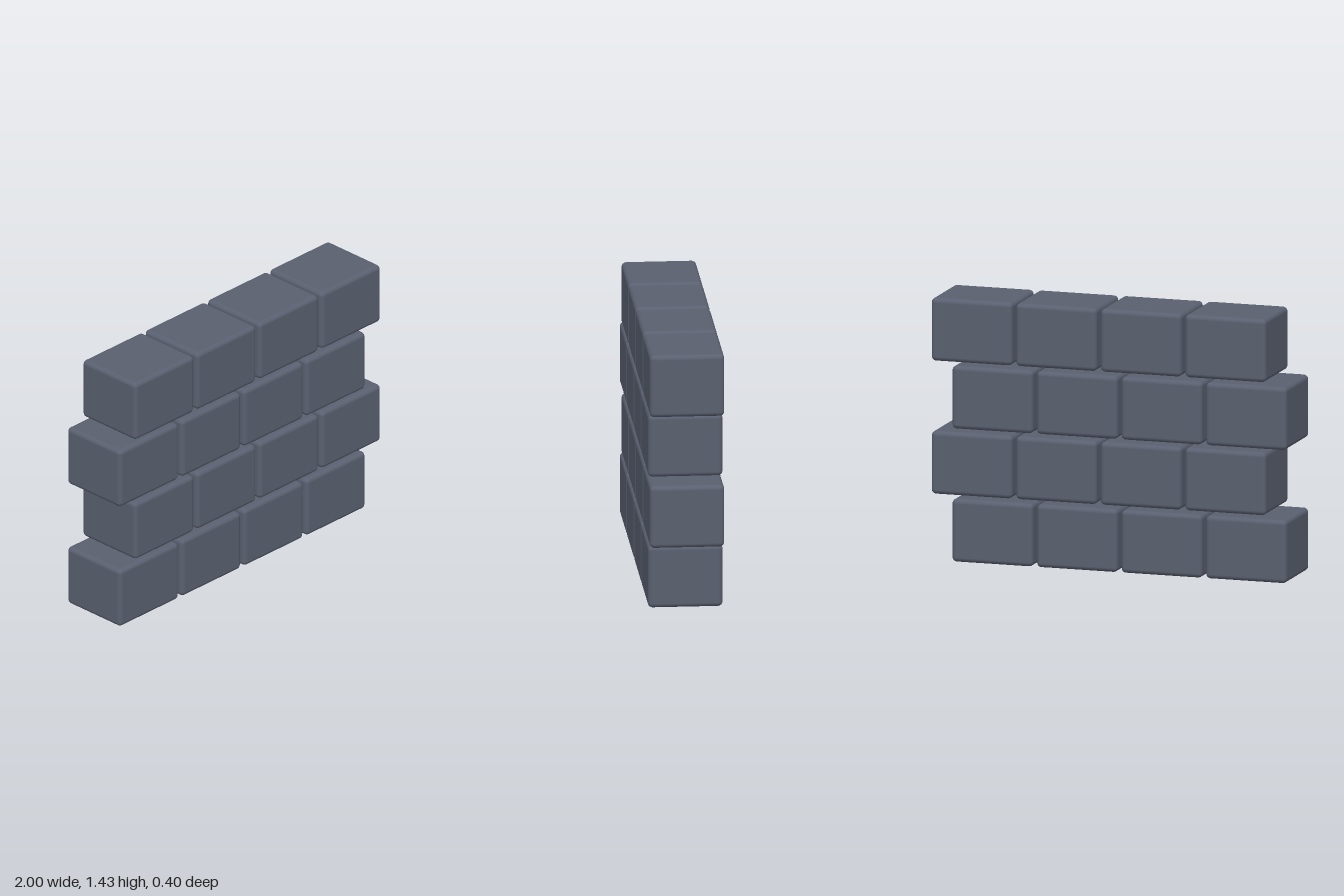
import * as THREE from 'three';
import { RoundedBoxGeometry } from 'three/addons/geometries/RoundedBoxGeometry.js';

const ROWS = 4, COLUMNS = 4;
const WIDTH = 0.455, HEIGHT = 0.343, DEPTH = 0.4, BEVEL = 0.025;
const PITCH_X = 0.476, PITCH_Y = 0.363;
const STAGGER = 2 - WIDTH - (COLUMNS - 1) * PITCH_X; // shift of every second course

export function createModel() {
  const wall = new THREE.Group();
  wall.name = 'brickWall';

  const slate = new THREE.MeshStandardMaterial({ color: 0x5a6070 });
  slate.name = 'slateGrey';

  // One rounded block shared by the whole wall
  const block = new RoundedBoxGeometry(WIDTH, HEIGHT, DEPTH, 4, BEVEL);

  // Courses of blocks in running bond
  for (let row = 0; row < ROWS; row++) {
    const course = new THREE.Group();
    course.name = `course${row + 1}`;
    course.position.set(row % 2 ? STAGGER : 0, HEIGHT / 2 + row * PITCH_Y, 0);
    for (let i = 0; i < COLUMNS; i++) {
      const brick = new THREE.Mesh(block, slate);
      brick.name = `brick${i + 1}`;
      brick.position.x = -1 + WIDTH / 2 + i * PITCH_X;
      course.add(brick);
    }
    wall.add(course);
  }
  return wall;
}
